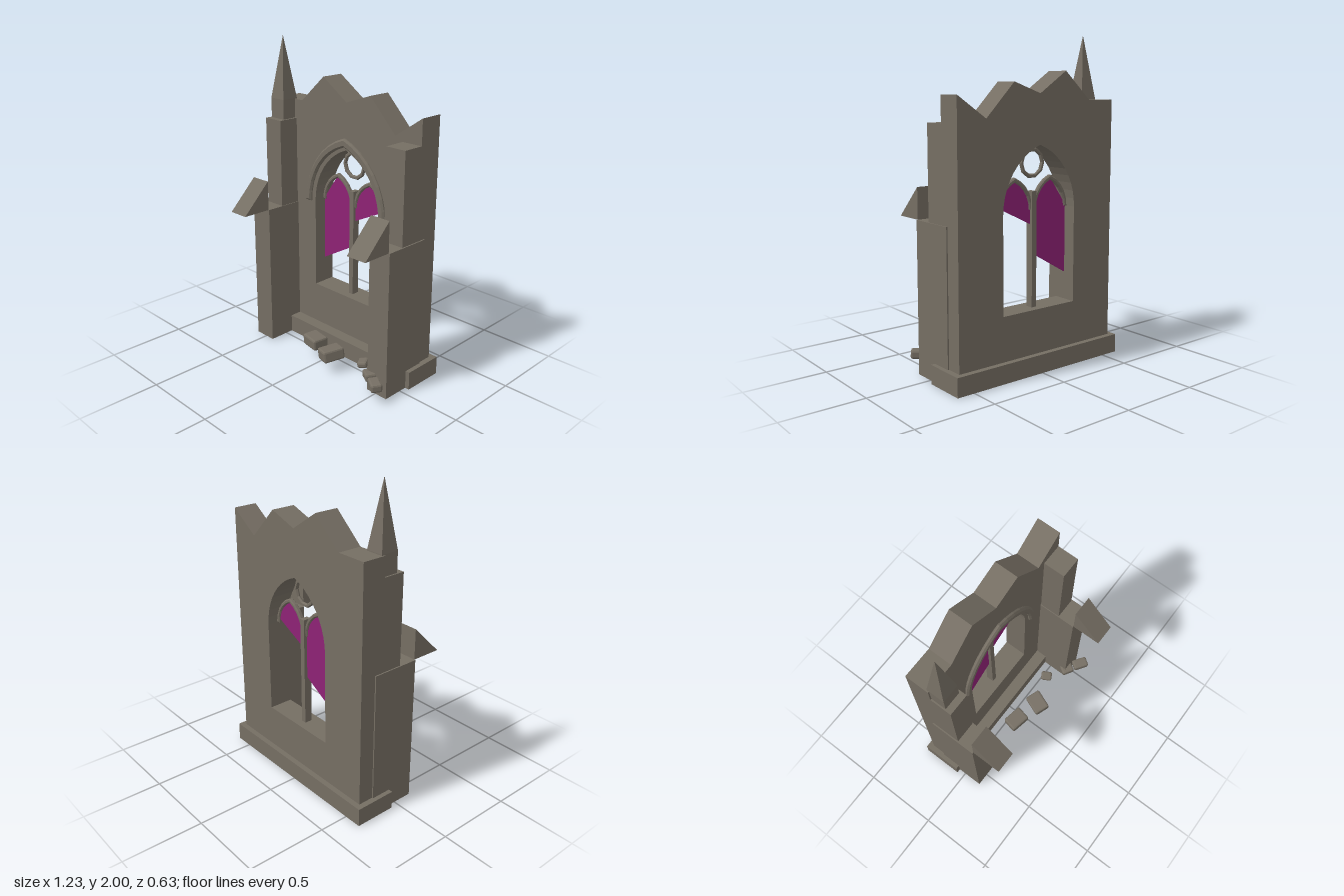
import * as THREE from 'three';
import { RoundedBoxGeometry } from 'three/addons/geometries/RoundedBoxGeometry.js';

const stone = new THREE.MeshStandardMaterial({ color: 0x756e63, flatShading: true });
stone.name = 'weathered stone';
const glass = new THREE.MeshStandardMaterial({ color: 0x8e2275, flatShading: true });
glass.name = 'purple glass';

const SPRING = 0.97; // height where every arch starts to curve
const MID = -0.205; // middle of the wall's thickness

// Points of a pointed arch, from left foot over the apex to right foot
function archPoints(cx, w, h, n) {
  const r = (w * w + h * h) / (2 * w);
  const end = Math.acos((w - r) / r);
  const left = [];
  for (let i = 0; i <= n; i++) {
    const a = Math.PI + (end - Math.PI) * (i / n);
    left.push([r - w + r * Math.cos(a), SPRING + r * Math.sin(a)]);
  }
  const right = left.slice(0, -1).reverse().map(([x, y]) => [-x, y]);
  return [...left, ...right].map(([x, y]) => new THREE.Vector2(cx + x, y));
}

const points = (list) => list.map(([x, y]) => new THREE.Vector2(x, y));

export function createModel() {
  const model = new THREE.Group();
  model.name = 'ruinedWindowWall';

  function add(name, geometry, x = 0, y = 0, z = 0, material = stone) {
    const mesh = new THREE.Mesh(geometry, material);
    mesh.name = name;
    mesh.position.set(x, y, z);
    model.add(mesh);
    return mesh;
  }

  // Box given by its limits on each axis
  function block(name, x0, x1, y0, y1, z0, z1) {
    return add(name, new THREE.BoxGeometry(x1 - x0, y1 - y0, z1 - z0),
      (x0 + x1) / 2, (y0 + y1) / 2, (z0 + z1) / 2);
  }

  // Arched band with chamfered edges between an outer and an inner arch
  function archBand(name, cx, outer, inner, n, z0, z1, bevel) {
    const shape = new THREE.Shape([
      ...archPoints(cx, ...outer, n),
      ...archPoints(cx, ...inner, n).reverse(),
    ]);
    const geometry = new THREE.ExtrudeGeometry(shape, {
      depth: z1 - z0 - 2 * bevel, bevelThickness: bevel, bevelSize: bevel,
      bevelOffset: -bevel, bevelSegments: 1,
    });
    add(name, geometry, 0, 0, z0 + bevel);
  }

  // Wall with a broken top and a pointed window opening
  const wall = new THREE.Shape(points([
    [-0.577, 0], [0.577, 0], [0.577, 1.64], [0.385, 1.51], [0.19, 1.71],
    [0, 1.645], [-0.195, 1.775], [-0.385, 1.605], [-0.577, 1.605],
  ]));
  wall.holes.push(new THREE.Path([
    ...points([[0.27, 0.385], [-0.27, 0.385]]),
    ...archPoints(0, 0.27, 0.383, 10),
  ]));
  add('wall', new THREE.ExtrudeGeometry(wall, { depth: 0.152, bevelEnabled: false }), 0, 0, -0.28);
  block('plinth', -0.613, 0.613, 0, 0.115, -0.315, -0.05);

  // Stepped buttresses with a sloped weathering block in front
  const slope = new THREE.Shape(points([[0, 0], [0.19, 0], [0, 0.19]]));
  for (const s of [-1, 1]) {
    const side = s > 0 ? 'left' : 'right';
    const span = (a, b) => (s > 0 ? [a, b] : [-b, -a]);
    block(side + 'LowerButtress', ...span(0.435, 0.585), 0, 0.925, -0.18, 0.125);
    block(side + 'UpperButtress', ...span(0.44, 0.577), 0.92, 1.485, -0.13, 0.01);
    const wedge = new THREE.ExtrudeGeometry(slope, { depth: 0.137, bevelEnabled: false });
    wedge.translate(0, 0, -0.0685).rotateY(-Math.PI / 2);
    add(side + 'ButtressSlope', wedge, s * 0.5085, 0.925, 0.125);
  }

  // Surviving pinnacle
  block('pinnacleShaft', -0.568, -0.454, 1.48, 1.61, -0.145, -0.031);
  const spire = new THREE.ConeGeometry(0.057 * Math.SQRT2, 0.39, 4);
  spire.rotateY(Math.PI / 4);
  add('pinnacleSpire', spire, -0.511, 1.805, -0.088);

  // Hood moulding, mullion and tracery
  archBand('hoodMoulding', 0, [0.336, 0.46], [0.292, 0.405], 8, -0.13, -0.1, 0.011);
  block('mullion', -0.017, 0.017, 0.385, 1.08, MID - 0.025, MID + 0.025);
  for (const s of [-1, 1]) {
    archBand(s > 0 ? 'leftLightArch' : 'rightLightArch', s * 0.135,
      [0.135, 0.197], [0.11, 0.168], 5, MID - 0.015, MID + 0.015, 0.007);
  }
  add('traceryRing', new THREE.TorusGeometry(0.08, 0.013, 6, 10), 0, 1.245, MID);

  // Broken panes
  function pane(name, outline) {
    const geometry = new THREE.ExtrudeGeometry(new THREE.Shape(points(outline)),
      { depth: 0.009, bevelEnabled: false });
    add(name, geometry, 0, 0, MID - 0.0045, glass);
  }
  pane('rightBrokenPane', [
    [-0.26, 0.56], [-0.015, 0.7], [-0.015, 0.97], [-0.035, 1.04],
    [-0.075, 1.1], [-0.135, 1.15], [-0.16, 1.12], [-0.26, 0.98],
  ]);
  pane('leftBrokenPane', [
    [0.015, 0.885], [0.25, 1.0], [0.235, 1.04], [0.195, 1.1],
    [0.135, 1.15], [0.075, 1.1], [0.035, 1.04], [0.015, 0.97],
  ]);

  // Fallen stones: position, size, rotation
  const stones = [
    [[-0.075, 0.11, 0.066], [0.14, 0.072, 0.105], [0.04, -0.2, 0.03]],
    [[0.115, 0.112, 0.112], [0.11, 0.075, 0.14], [0.08, -0.36, 0.17]],
    [[0.322, 0.1, 0.041], [0.062, 0.038, 0.075], [0.05, 0.5, 0.16]],
    [[0.455, 0.108, 0.125], [0.085, 0.05, 0.075], [0.05, -0.55, 0.08]],
    [[0.545, 0.104, 0.18], [0.105, 0.052, 0.07], [0.03, -0.6, 0.05]],
  ];
  stones.forEach(([p, size, r], i) => {
    const geometry = new RoundedBoxGeometry(...size, 1, 0.012);
    add('fallenStone' + (i + 1), geometry, ...p).rotation.set(...r);
  });

  return model;
}
